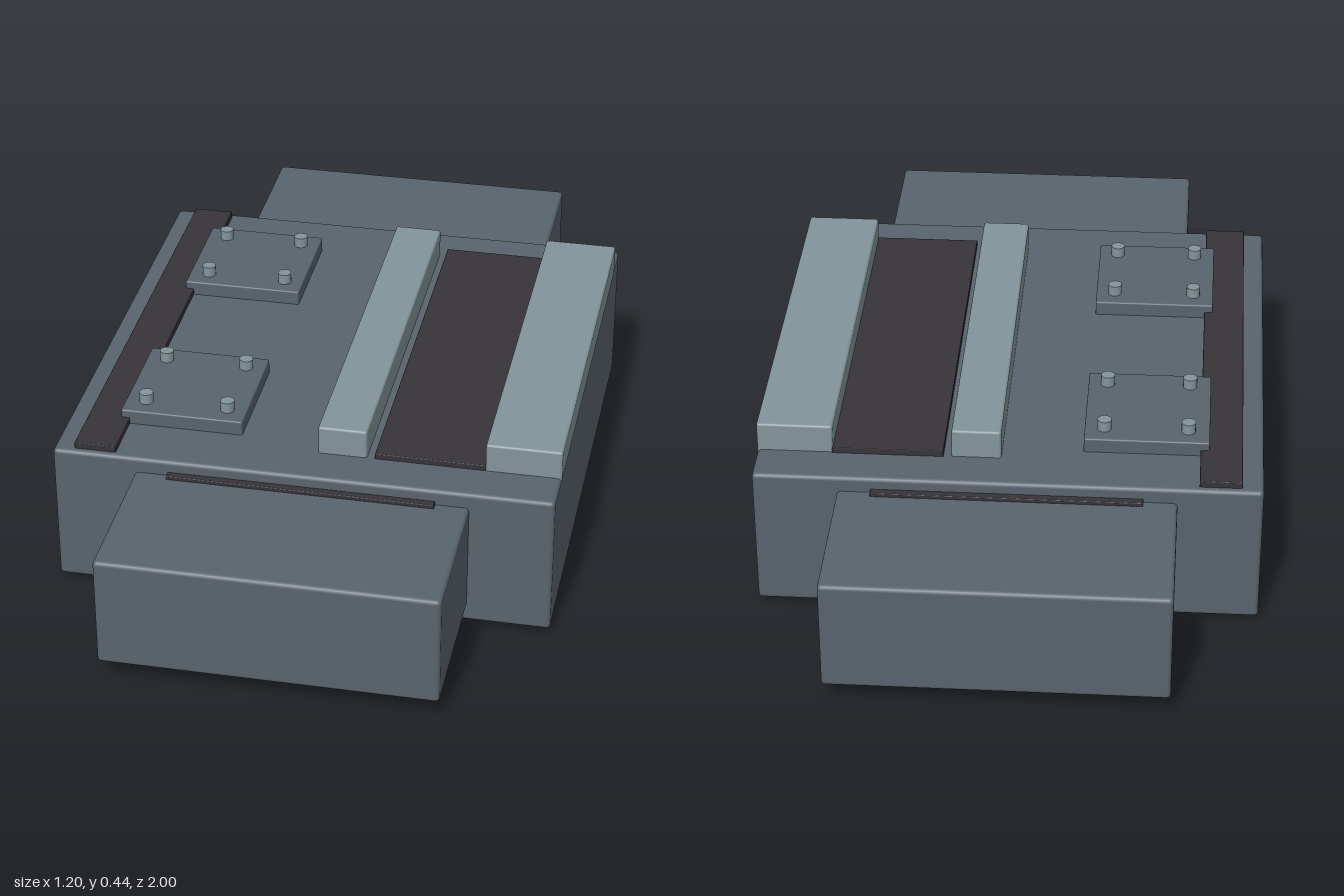
import * as THREE from 'three';
import { RoundedBoxGeometry } from 'three/addons/geometries/RoundedBoxGeometry.js';

export function createModel() {
  const model = new THREE.Group();
  model.name = 'carriage';

  const material = (name, color) => {
    const m = new THREE.MeshStandardMaterial({ color });
    m.name = name;
    return m;
  };
  const steel = material('slate steel', 0x59646d);
  const pale = material('pale metal', 0x82959a);
  const dark = material('dark rubber', 0x37343a);

  // Box given by its minimum and maximum on each axis, with a small rounded edge
  function block(name, mat, [x0, x1], [y0, y1], [z0, z1], radius = 0.004) {
    const geometry = new RoundedBoxGeometry(x1 - x0, y1 - y0, z1 - z0, 2, radius);
    const mesh = new THREE.Mesh(geometry, mat);
    mesh.position.set((x0 + x1) / 2, (y0 + y1) / 2, (z0 + z1) / 2);
    mesh.name = name;
    model.add(mesh);
    return mesh;
  }

  // Main body
  block('body', steel, [-0.6, 0.6], [0.015, 0.372], [-0.618, 0.618], 0.01);

  // Raised rails and the dark strip between them
  block('innerRail', pale, [0.02, 0.138], [0.36, 0.443], [-0.51, 0.51], 0.006);
  block('outerRail', pale, [0.42, 0.601], [0.36, 0.443], [-0.51, 0.51], 0.006);
  block('centreStrip', dark, [0.157, 0.422], [0.36, 0.386], [-0.513, 0.51], 0.002);

  // Long strip on the other edge of the top
  block('edgeStrip', dark, [-0.55, -0.45], [0.36, 0.388], [-0.602, 0.602], 0.002);

  for (const side of [-1, 1]) {
    // End blocks, with a seal above each
    const span = (a, b) => (side > 0 ? [a, b] : [-b, -a]);
    block('endBlock', steel, [-0.4, 0.4], [0.055, 0.334], span(0.58, 1), 0.01);
    block('endSeal', dark, [-0.32, 0.32], [0.318, 0.343], span(0.6, 0.636), 0.002);

    // Strips under the body
    block('footStrip', dark, [-0.425, 0.425], [0, 0.03], span(0.295, 0.345), 0.002);

    // Bolted plates
    const z = side * 0.32;
    block('mountingPlate', steel, [-0.471, -0.173], [0.36, 0.408], [z - 0.15, z + 0.15], 0.004);
    for (const x of [-0.42, -0.22]) {
      for (const dz of [-0.1, 0.1]) {
        const bolt = new THREE.Mesh(new THREE.CylinderGeometry(0.017, 0.017, 0.035, 16), pale);
        bolt.name = 'bolt';
        bolt.position.set(x, 0.4165, z + dz);
        model.add(bolt);
      }
    }
  }

  return model;
}
